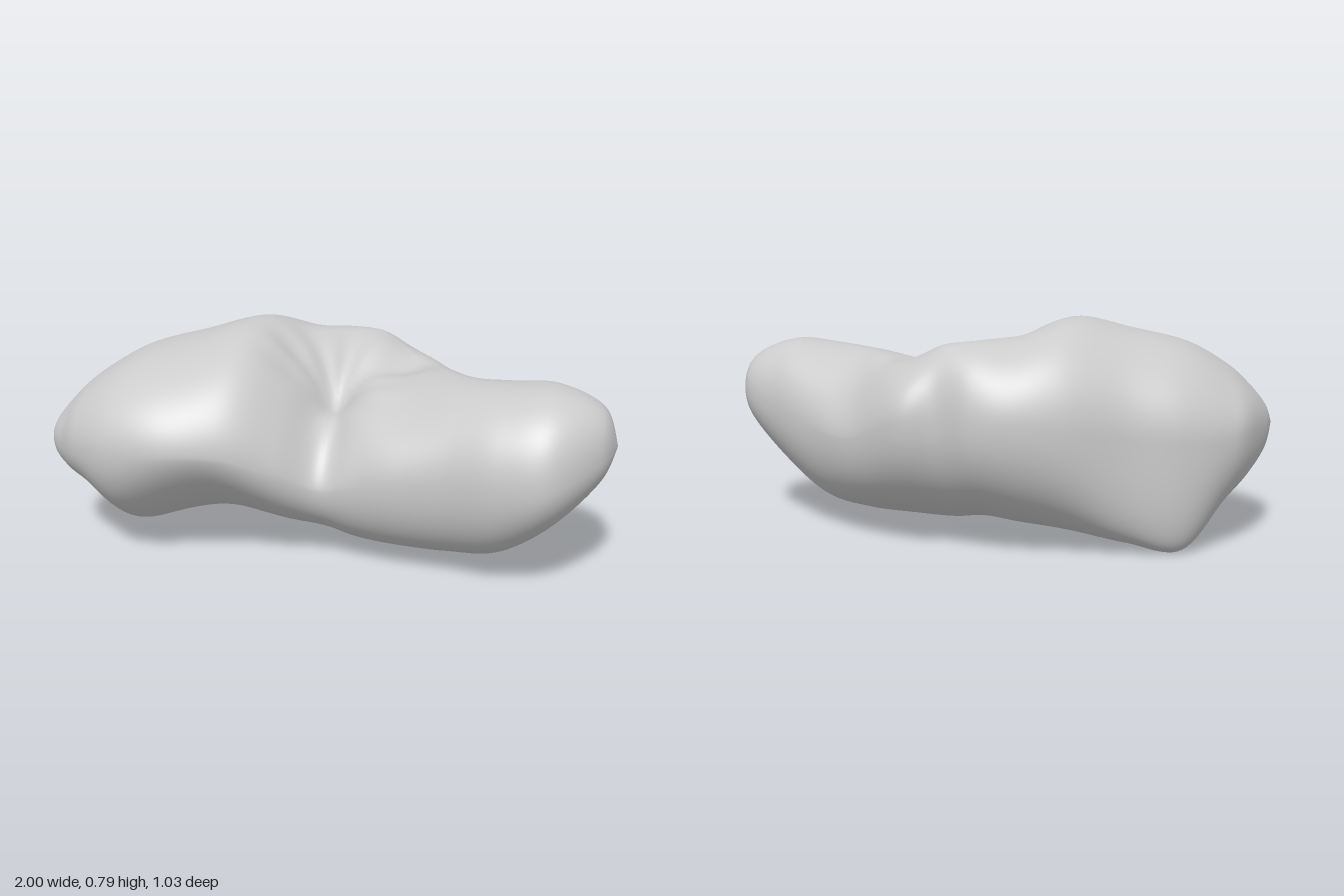
import * as THREE from 'three';
import { mergeVertices } from 'three/addons/utils/BufferGeometryUtils.js';

// Cross-sections along x: x, back z, front z, y of back, y of front,
// lowest y, highest y, z of lowest, z of highest
const SECTIONS = [
  [-1, 0.18, 0.18, 0.39, 0.39, 0.39, 0.39, 0.18, 0.18],
  [-0.975, 0.03, 0.28, 0.39, 0.39, 0.3, 0.46, 0.15, 0.15],
  [-0.91, -0.16, 0.35, 0.4, 0.39, 0.22, 0.54, 0.05, 0.12],
  [-0.83, -0.25, 0.42, 0.38, 0.4, 0.155, 0.61, -0.1, 0.1],
  [-0.69, -0.33, 0.49, 0.38, 0.41, 0.003, 0.69, -0.22, 0.05],
  [-0.5, -0.39, 0.51, 0.4, 0.43, 0.025, 0.74, -0.2, 0],
  [-0.3, -0.48, 0.46, 0.43, 0.42, 0.05, 0.785, -0.15, -0.06],
  [-0.13, -0.52, 0.38, 0.45, 0.35, 0.06, 0.73, -0.08, -0.18],
  [0, -0.51, 0.31, 0.45, 0.28, 0.065, 0.715, 0, -0.28],
  [0.12, -0.46, 0.33, 0.45, 0.3, 0.045, 0.7, 0.05, -0.3],
  [0.26, -0.46, 0.365, 0.45, 0.33, 0.045, 0.645, 0.1, -0.2],
  [0.45, -0.33, 0.395, 0.37, 0.36, 0.05, 0.645, 0.13, 0.05],
  [0.63, -0.19, 0.447, 0.38, 0.38, 0.08, 0.66, 0.15, 0.15],
  [0.8, -0.07, 0.445, 0.43, 0.4, 0.2, 0.67, 0.17, 0.18],
  [0.95, 0.04, 0.31, 0.48, 0.46, 0.36, 0.605, 0.18, 0.18],
  [1, 0.18, 0.18, 0.48, 0.48, 0.48, 0.48, 0.18, 0.18],
];

const bell = (d, width) => Math.exp(-((d / width) ** 2));

// Smooth section at v, a fractional row number
function sectionAt(v) {
  const last = SECTIONS.length - 1;
  const i = Math.min(Math.floor(v), last - 1), t = v - i;
  const row = (k) => SECTIONS[THREE.MathUtils.clamp(k, 0, last)];
  return row(i).map((b, c) => {
    const a = row(i - 1)[c], d = row(i + 1)[c], e = row(i + 2)[c];
    return b + 0.5 * t * (d - a + t * (2 * a - 5 * b + 4 * d - e + t * (3 * (b - d) + e - a)));
  });
}

// Point on a section: four superellipse quarters meeting at the extremes
function sectionPoint([x, zb, zf, yb, yf, y0, y1, zl, zt], angle) {
  const c = Math.cos(angle), s = Math.sin(angle);
  const front = c > 0, top = s > 0;
  let p = 2.15;
  if (front && top) p += -0.65 * bell(x, 0.16) - 0.3 * bell(x + 0.38, 0.2);
  if (front && !top) p -= 0.6 * bell(x + 0.36, 0.24);
  if (!front && top) p -= 0.5 * bell(x - 0.5, 0.16);
  if (!front && !top) p += 1.4 * bell(x + 0.57, 0.17);
  const cz = top ? zt : zl, cy = front ? yf : yb;
  const z = cz + ((front ? zf : zb) - cz) * Math.abs(c) ** (2 / p);
  let y = cy + ((top ? y1 : y0) - cy) * Math.abs(s) ** (2 / p);
  if (top) {
    // Pit in a shallow bowl on the upper side, with creases radiating from it
    const dx = x - 0.01, dz = z - 0.05, r = Math.hypot(dx, dz);
    const ray = Math.cos(9 * Math.atan2(dz, dx) + 0.6);
    y -= s * (0.06 * bell(r, 0.17) + 0.045 * bell(r, 0.06) + 0.006 * ray * bell(r - 0.16, 0.1));
    // Gully between the back ridge and the left lobe
    y -= s * 0.04 * bell(z + 0.02 + 0.35 * x, 0.08) * bell(x - 0.2, 0.13);
  } else {
    // Trough under the right lobe, in front of its low corner
    y -= s * 0.035 * bell(z - 0.08, 0.11) * bell(x + 0.58, 0.22);
  }
  return [x, y, z];
}

export function createModel() {
  const group = new THREE.Group();
  group.name = 'rock';
  const rings = 180, sides = 128;
  const positions = [], index = [];
  for (let i = 0; i <= rings; i++) {
    const t = i / rings;
    const eased = 0.5 * t + 0.25 * (1 - Math.cos(Math.PI * t));
    const section = sectionAt(eased * (SECTIONS.length - 1));
    for (let j = 0; j < sides; j++) {
      positions.push(...sectionPoint(section, (j / sides) * Math.PI * 2));
      if (i === rings) continue;
      const k = (j + 1) % sides;
      const a = i * sides + j, b = a + sides, c = i * sides + k, d = c + sides;
      index.push(a, b, c, c, b, d);
    }
  }
  let geometry = new THREE.BufferGeometry();
  geometry.setAttribute('position', new THREE.Float32BufferAttribute(positions, 3));
  geometry.setIndex(index);
  geometry = mergeVertices(geometry, 1e-5);
  geometry.computeVertexNormals();

  // Two-lobed body
  const body = new THREE.Mesh(geometry, new THREE.MeshStandardMaterial({ color: 0xcccccc }));
  body.name = 'twoLobedBody';
  group.add(body);
  return group;
}
